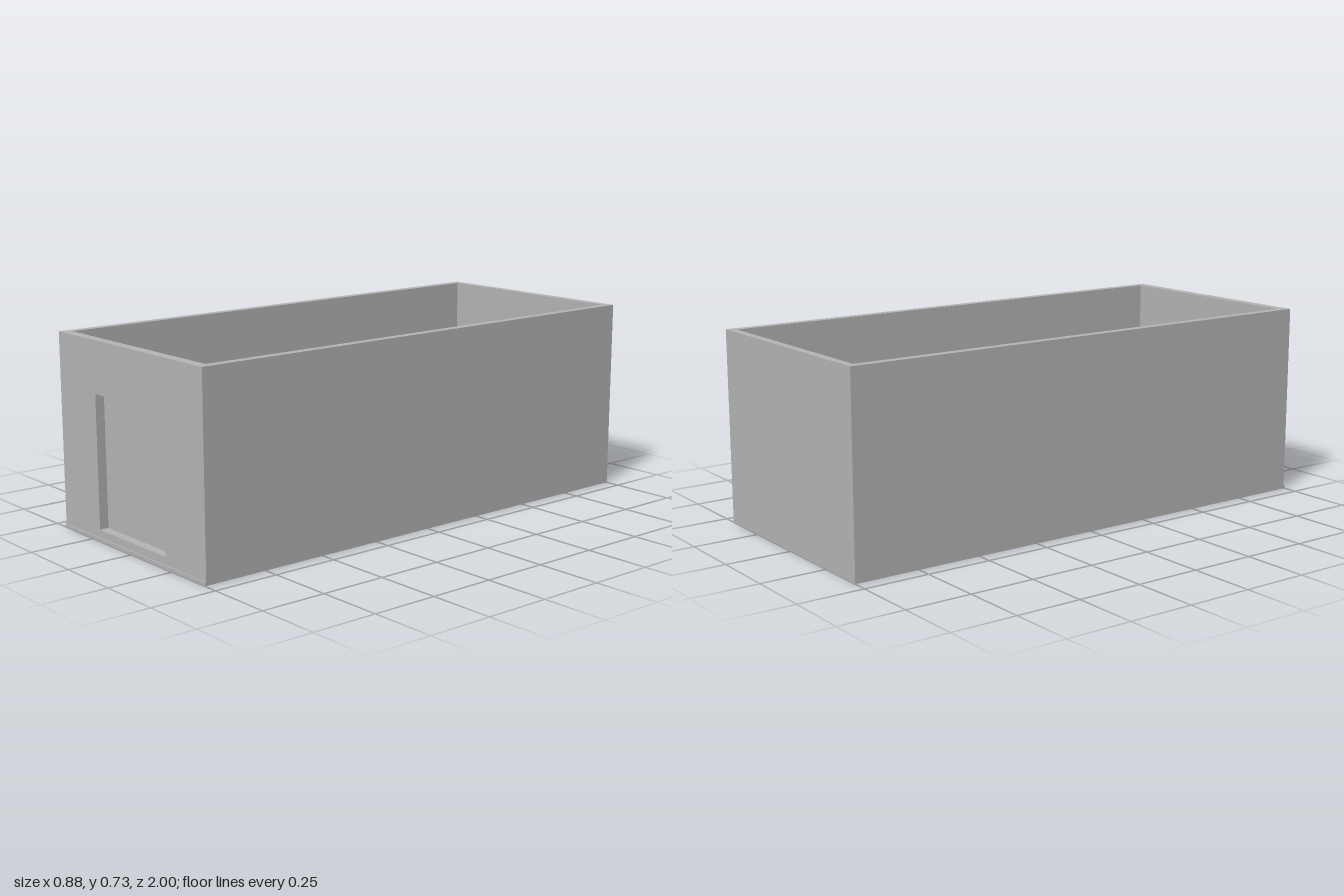
import * as THREE from 'three';

const HALF_W = 0.442, HEIGHT = 0.73, BACK = -1, FRONT = 0.995;
const INNER_X = 0.41, INNER_BACK = -0.97, INNER_FRONT = 0.957;

function rect(target, x0, y0, x1, y1) {
  target.moveTo(x0, y0);
  target.lineTo(x1, y0);
  target.lineTo(x1, y1);
  target.lineTo(x0, y1);
  target.closePath();
  return target;
}

export function createModel() {
  const group = new THREE.Group();
  const grey = new THREE.MeshStandardMaterial({ color: 0xb4b4b4 });
  grey.name = 'plain grey';

  const add = (name, geometry, x = 0, y = 0, z = 0) => {
    const mesh = new THREE.Mesh(geometry, grey);
    mesh.name = name;
    mesh.position.set(x, y, z);
    group.add(mesh);
    return mesh;
  };

  // Side and back walls: a U-shaped plan raised to full height
  const plan = new THREE.Shape([
    [-HALF_W, -INNER_FRONT], [-INNER_X, -INNER_FRONT],
    [-INNER_X, -INNER_BACK], [INNER_X, -INNER_BACK],
    [INNER_X, -INNER_FRONT], [HALF_W, -INNER_FRONT],
    [HALF_W, -BACK], [-HALF_W, -BACK],
  ].map(([x, y]) => new THREE.Vector2(x, y)));
  const walls = new THREE.ExtrudeGeometry(plan, { depth: HEIGHT, bevelEnabled: false });
  walls.rotateX(-Math.PI / 2);
  add('sideAndBackWalls', walls);

  // Front wall with the door opening
  const face = rect(new THREE.Shape(), -HALF_W, 0, HALF_W, HEIGHT);
  face.holes.push(rect(new THREE.Path(), -0.208, 0.042, 0.206, 0.538));
  add('frontWall', new THREE.ExtrudeGeometry(face, { depth: FRONT - INNER_FRONT, bevelEnabled: false }),
    0, 0, INNER_FRONT);

  // Recessed door panel, standing slightly proud on the inside
  add('doorPanel', new THREE.BoxGeometry(0.424, 0.504, 0.008), -0.001, 0.29, 0.956);

  // Thin strip along the foot of the front wall
  add('frontSill', new THREE.BoxGeometry(HALF_W * 2, 0.013, 1 - FRONT), 0, 0.0065, (1 + FRONT) / 2);

  return group;
}
